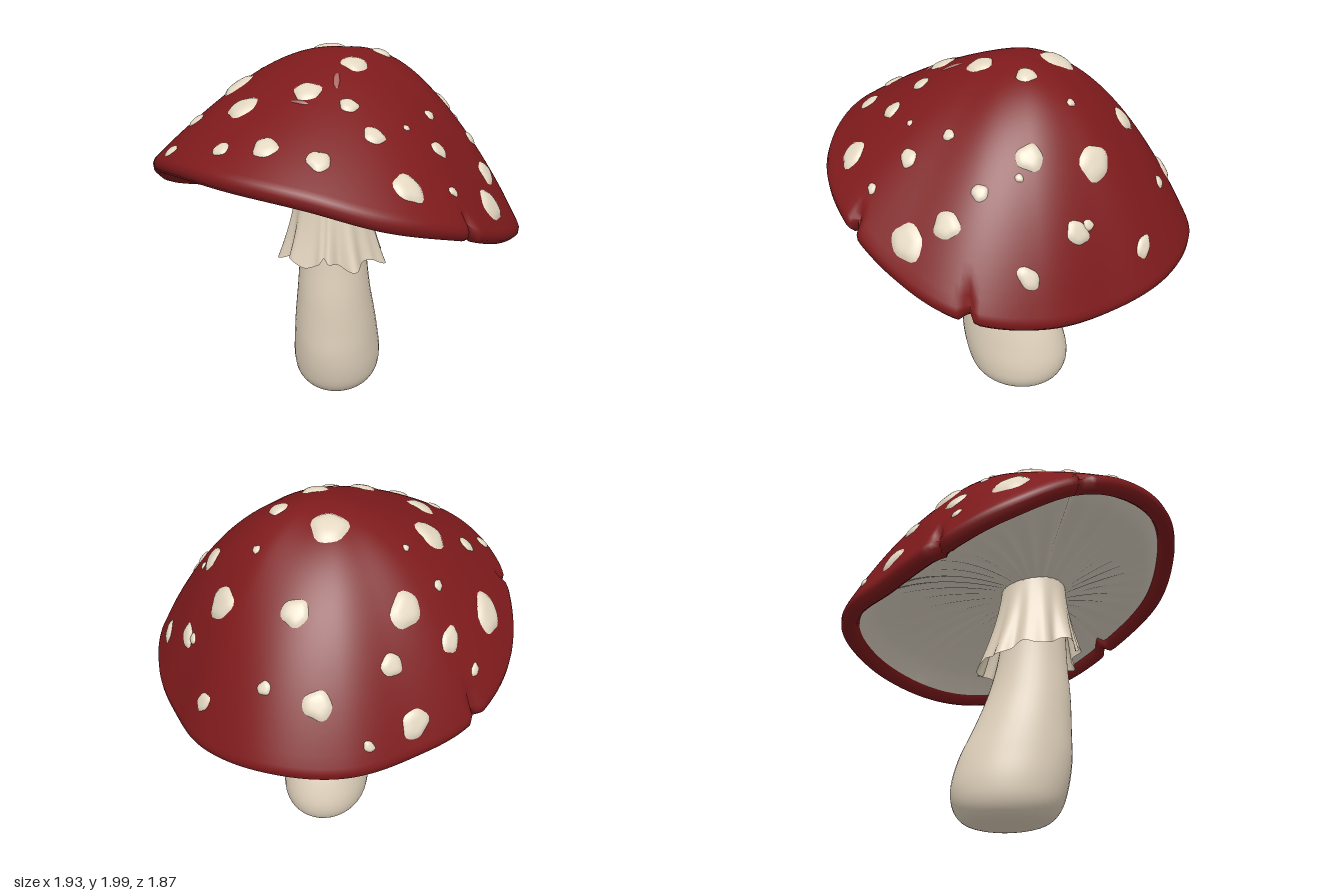
import * as THREE from 'three';
import { mergeVertices } from 'three/addons/utils/BufferGeometryUtils.js';

const material = (name, color, side = THREE.FrontSide) => new THREE.MeshStandardMaterial({ name, color, side });
const TAU = Math.PI * 2;

// Rim radius and lip height at 16 even angles, from the front (+z) round through +x
const RIM_R = [.92, .94, .93, .92, .95, .895, .855, .9, .93, .92, .88, .92, .96, .94, .92, .92];
const RIM_Y = [1.52, 1.42, 1.305, 1.155, 1.05, .975, .955, 1.0, 1.04, 1.03, 1.03, 1.08, 1.22, 1.42, 1.52, 1.55];
const NOTCHES = [50, 91, 249, 293];
const APEX = 1.992;

// Smooth periodic lookup
function around(table, a) {
  const n = table.length, f = ((a / TAU) % 1 + 1) % 1 * n, i = Math.floor(f), t = f - i;
  const [p, q, r, s] = [-1, 0, 1, 2].map(k => table[(i + k + n) % n]);
  return q + .5 * t * (r - p + t * (2 * p - 5 * q + 4 * r - s + t * (3 * (q - r) + s - p)));
}

// Grid closed around the angle; point(a, v) runs from top to bottom, or outward then under
function loopSurface(nu, nv, point) {
  const pos = [], index = [];
  for (let j = 0; j <= nv; j++)
    for (let i = 0; i < nu; i++) pos.push(...point(i / nu * TAU, j / nv));
  for (let j = 0; j < nv; j++)
    for (let i = 0; i < nu; i++) {
      const k = (i + 1) % nu, a = j * nu + i, b = a + nu, c = (j + 1) * nu + k, d = j * nu + k;
      index.push(a, b, c, a, c, d);
    }
  let g = new THREE.BufferGeometry();
  g.setAttribute('position', new THREE.Float32BufferAttribute(pos, 3));
  g.setIndex(index);
  g = mergeVertices(g, 1e-5);
  g.computeVertexNormals();
  return g;
}

// Height of the cap's upper skin at angle a and radius fraction s; the two rear flanks are fuller
function skinY(a, s) {
  const drop = APEX - (around(RIM_Y, a) + .08);
  const full = .55 * Math.max(0, Math.cos(a - 2.3)) ** 6 + .33 * Math.max(0, Math.cos(a - 4.25)) ** 2;
  return APEX - drop * Math.pow(s, 1.53 + .9 * (drop - .42) + full);
}
function notch(a) {
  const deg = a / TAU * 360;
  return NOTCHES.reduce((m, n) => m + Math.exp(-(((deg - n) / 1.3) ** 2)), 0);
}
function skinPoint(x, z) {
  const a = Math.atan2(x, z), s = Math.min(.99, Math.hypot(x, z) / around(RIM_R, a));
  return new THREE.Vector3(x, skinY(a, s), z);
}

// Lip cross-section: radius offset and height offset from the skin's edge
const LIP = [[0, 0], [.01, -.025], [.008, -.055], [-.015, -.078], [-.045, -.084], [-.07, -.065], [-.085, -.03]];
const SKIN_ROWS = 36, ROWS = SKIN_ROWS + LIP.length - 1;

function capPoint(a, v) {
  const row = Math.round(v * ROWS), R = around(RIM_R, a);
  let r, y;
  if (row <= SKIN_ROWS) {
    const s = row / SKIN_ROWS;
    r = R * s - .05 * notch(a) * Math.max(0, (s - .93) / .07);
    y = skinY(a, s);
  } else {
    const [dr, dy] = LIP[row - SKIN_ROWS];
    r = R + dr - .05 * notch(a);
    y = around(RIM_Y, a) + .08 + dy + .03 * notch(a);
  }
  return [r * Math.sin(a), y, r * Math.cos(a)];
}

// Gills: ridged hollow underside from the lip, drooping to the stem
function gillPoint(a, k) {
  const r0 = around(RIM_R, a) - .085 - .05 * notch(a), y0 = around(RIM_Y, a) + .05 + .03 * notch(a);
  const ridge = .014 * (Math.abs(Math.sin(a * 18 + 1.5 * Math.sin(a * 3))) - .5) * Math.sin(Math.PI * k);
  const r = r0 + (.13 - r0) * k;
  const y = y0 + (1.325 - y0) * Math.pow(k, .58) + .04 * Math.sin(Math.PI * k) + ridge;
  return [r * Math.sin(a), y, r * Math.cos(a) + .12 * k];
}

// Stem sections: y, centre z, half width x, half depth z
const STEM = [
  [1.5, .12, .17, .16], [1.3, .12, .172, .165], [1.1, .115, .175, .175], [.9, .105, .182, .19],
  [.7, .085, .2, .222], [.5, .045, .225, .262], [.35, .01, .24, .295], [.2, -.02, .25, .3],
  [.1, -.03, .236, .275], [.04, -.035, .195, .225], [.01, -.04, .12, .14], [0, -.04, 0, 0]];
const stemCurves = [0, 1].map(h => new THREE.CatmullRomCurve3(
  STEM.map(s => new THREE.Vector3(s[0], s[1 + h * 2], h ? 0 : s[2]))));
function stemPoint(a, v) {
  const p = stemCurves[0].getPoint(v), q = stemCurves[1].getPoint(v);
  return [-.012 + Math.max(0, p.z) * Math.sin(a), Math.max(0, p.x), p.y + Math.max(0, q.y) * Math.cos(a)];
}

// Skirt: ruffled veil hanging from the upper stem, lower at the back, with a slit in front
function skirtPoint(a, v) {
  const wave = Math.cos(a * 9 + Math.sin(a * 2)) + .5 * Math.sin(a * 14);
  const slit = Math.exp(-(((a > Math.PI ? a - TAU : a) / .06) ** 2));
  const hem = .9 + .055 * Math.cos(a) + .022 * Math.sin(a * 7 + 1) + .03 * slit;
  const flare = Math.pow(v, 1.6);
  const r = .178 + .095 * flare + .02 * wave * flare - .03 * slit * v;
  return [-.018 + r * Math.sin(a), 1.38 + (hem - 1.38) * v, .118 - .03 * flare + r * Math.cos(a)];
}

// Patch lying on the cap: w is its half width across the slope, l its half length down it, h its height
function patch(x, z, w, l, h, seed) {
  const R = Math.hypot(x, z), e = .01, ux = x / R, uz = z / R;
  const slope = (skinPoint(x + ux * e, z + uz * e).y - skinPoint(x - ux * e, z - uz * e).y) / (2 * e);
  const run = l / Math.hypot(1, slope);
  return loopSurface(20, 5, (a, v) => {
    const wob = v * (1 + .06 * Math.sin(a * 3 + seed) + .04 * Math.sin(a * 5 + seed * 2));
    const across = w * wob * Math.sin(a), down = run * wob * Math.cos(a);
    const px = x + ux * down + uz * across, pz = z + uz * down - ux * across;
    const p = skinPoint(px, pz);
    const n = skinPoint(px, pz + e).sub(p).cross(skinPoint(px + e, pz).sub(p)).normalize();
    return p.addScaledVector(n, h * (1 - v ** 4) - .0015 * v ** 4).toArray();
  });
}

// Warts: x, z, radius
const LARGE = [
  [-.2, -.76, .069], [.38, -.73, .05], [-.61, -.57, .072], [-.47, -.51, .055], [-.03, -.55, .066],
  [.36, -.47, .084], [.58, -.44, .058], [-.48, -.33, .082], [-.69, -.26, .058], [-.08, -.2, .09],
  [.2, -.11, .05], [.52, -.2, .064], [.79, -.26, .052], [.76, .12, .066], [.79, .3, .085],
  [.53, .37, .045], [.1, .14, .067], [.25, .55, .05], [.42, .7, .072], [.04, .76, .054],
  [-.2, .72, .058], [-.41, .69, .041], [-.38, .43, .076], [-.08, .39, .067], [.12, .44, .045],
  [-.49, .12, .088], [-.82, .02, .094], [-.65, .31, .045]];
const SMALL = [
  [-.44, -.75, .028], [.05, -.76, .034], [-.82, -.24, .028], [-.59, -.13, .026], [-.42, -.1, .018],
  [.23, -.33, .022], [.67, -.01, .04], [.47, .19, .03], [.38, .41, .017], [.61, .53, .026], [-.71, .52, .038],
  [.53, -.48, .028], [.59, -.17, .02]];
// Scars: x, z, half width, half length
const SCARS = [[.04, .3, .016, .062], [-.1, .465, .045, .012]];

export function createModel() {
  const red = material('capRed', 0x7e1a1c);
  const cream = material('stemCream', 0xe3d4be, THREE.DoubleSide);
  const pale = material('wartCream', 0xe4d8c2);
  const gill = material('gillGrey', 0xe0d6c6, THREE.DoubleSide);
  const pink = material('scarPink', 0xac6a65);

  const group = new THREE.Group();
  group.name = 'mushroom';
  const add = (name, geometry, mat, parent = group) => {
    const mesh = new THREE.Mesh(geometry, mat);
    mesh.name = name;
    parent.add(mesh);
  };

  add('cap', loopSurface(240, ROWS, capPoint), red);
  add('gills', loopSurface(240, 16, gillPoint), gill);
  add('stem', loopSurface(40, 48, stemPoint), cream);
  add('skirt', loopSurface(144, 14, skirtPoint), cream);

  const warts = new THREE.Group();
  warts.name = 'warts';
  group.add(warts);
  [...LARGE, ...SMALL].forEach(([x, z, r], i) => add('wart', patch(x, z, r, r, .006 + .14 * r, i * 1.7), pale, warts));
  SCARS.forEach(([x, z, w, l]) => add('scar', patch(x, z, w, l, .007, 0), pink));
  return group;
}
